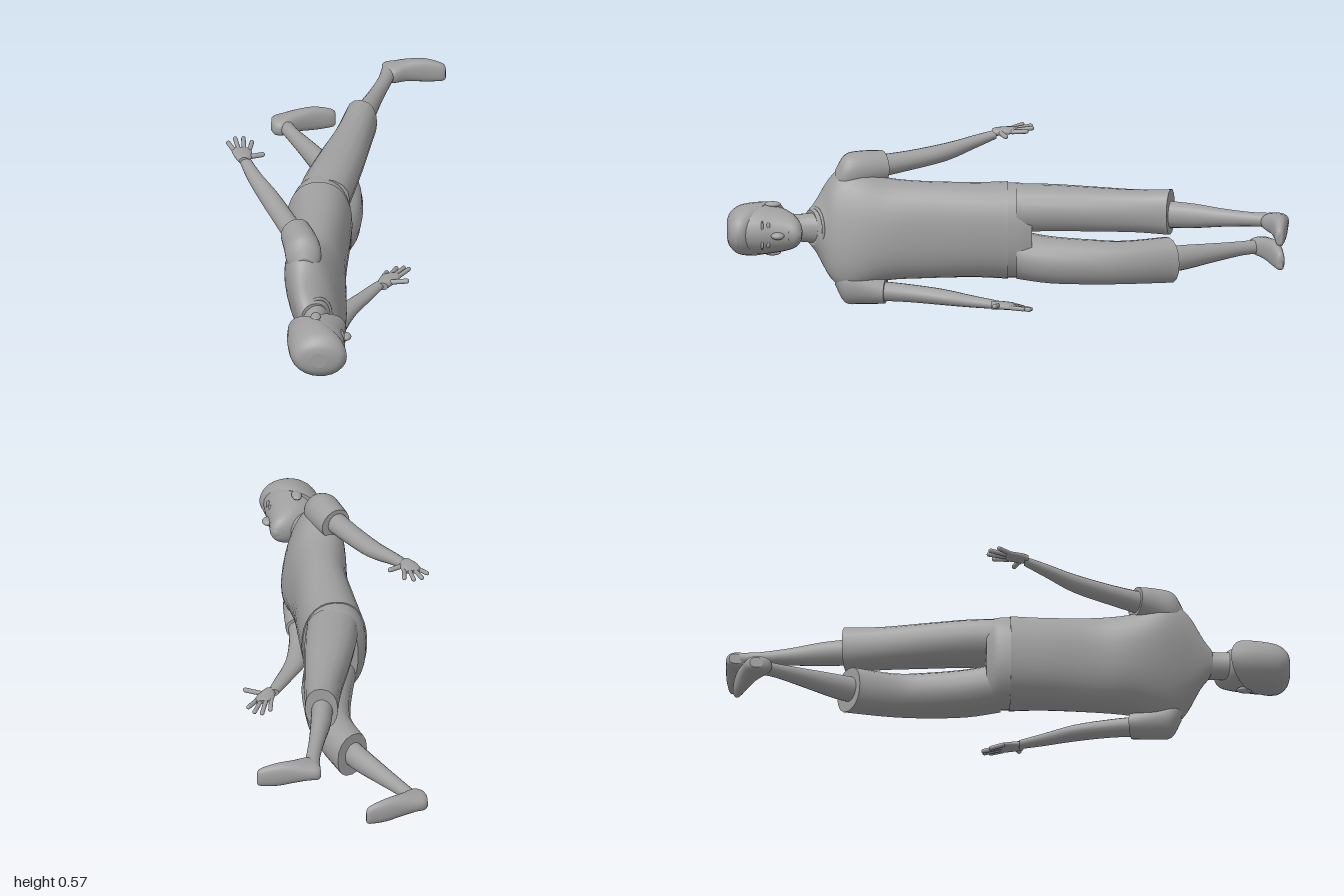
import * as THREE from 'three';

const grey = new THREE.MeshStandardMaterial({ color: 0xa0a0a0 });
grey.name = 'grey';

// Smooth loft through elliptical sections listed with falling z:
// [x, y, z, radiusX, radiusY, tilt (z per x), shear (x per y)]
function loft(sections, { sides = 24, steps = 4, power = 1 } = {}) {
  const at = (i) => sections[Math.min(Math.max(i, 0), sections.length - 1)];
  const rings = [];
  const last = sections.length - 1;
  for (let k = 0; k <= last * steps; k++) {
    const i = Math.min(Math.floor(k / steps), last - 1);
    const t = k / steps - i;
    const v = [];
    for (let c = 0; c < 7; c++) {
      const [a, b, d, e] = [-1, 0, 1, 2].map((o) => at(i + o)[c] || 0);
      v.push(b + 0.5 * t * (d - a + t * (2 * a - 5 * b + 4 * d - e + t * (3 * (b - d) + e - a))));
    }
    rings.push(v);
  }
  const pos = [], index = [];
  const bend = (s) => Math.sign(s) * Math.pow(Math.abs(s), power);
  const addRing = ([x, y, z, rx, ry, tilt, shear]) => {
    for (let j = 0; j < sides; j++) {
      const a = (j / sides) * Math.PI * 2;
      const dx = rx * bend(Math.cos(a)), dy = ry * bend(Math.sin(a));
      pos.push(x + dx + shear * dy, y + dy, z + tilt * dx);
    }
  };
  rings.forEach(addRing);
  for (let i = 0; i < rings.length - 1; i++) {
    for (let j = 0; j < sides; j++) {
      const a = i * sides + j, b = i * sides + ((j + 1) % sides);
      index.push(a, a + sides, b, b, a + sides, b + sides);
    }
  }
  // separate cap vertices keep the rims sharp
  for (const [ring, flip] of [[rings[0], false], [rings[rings.length - 1], true]]) {
    const s = pos.length / 3;
    addRing(ring);
    pos.push(ring[0], ring[1], ring[2]);
    for (let j = 0; j < sides; j++) {
      const a = s + j, b = s + ((j + 1) % sides);
      index.push(s + sides, flip ? b : a, flip ? a : b);
    }
  }
  const g = new THREE.BufferGeometry();
  g.setAttribute('position', new THREE.Float32BufferAttribute(pos, 3));
  g.setIndex(index);
  g.computeVertexNormals();
  return g;
}

export function createModel() {
  const model = new THREE.Group();
  model.name = 'lyingFigure';
  const add = (name, geometry) => {
    const m = new THREE.Mesh(geometry, grey);
    m.name = name;
    model.add(m);
    return m;
  };
  const blob = (name, p, r) => {
    const m = add(name, new THREE.SphereGeometry(1, 16, 12));
    m.position.set(...p);
    m.scale.set(...r);
    return m;
  };
  const finger = (name, from, to, r) => {
    const a = new THREE.Vector3(...from), b = new THREE.Vector3(...to);
    const d = b.clone().sub(a);
    const m = add(name, new THREE.CapsuleGeometry(r, d.length() - r, 4, 10));
    m.position.copy(a).add(b).multiplyScalar(0.5);
    m.quaternion.setFromUnitVectors(new THREE.Vector3(0, 1, 0), d.normalize());
  };

  // head, looking along +x with the crown at +z
  add('head', loft([
    [-0.02, 0.27, 0.992, 0.03, 0.03], [-0.02, 0.27, 0.98, 0.07, 0.055],
    [-0.022, 0.27, 0.95, 0.09, 0.08], [-0.03, 0.27, 0.89, 0.101, 0.091],
    [-0.025, 0.27, 0.84, 0.094, 0.085], [-0.012, 0.27, 0.79, 0.082, 0.073],
    [0.012, 0.27, 0.755, 0.06, 0.054], [0.024, 0.27, 0.737, 0.035, 0.03],
    [0.026, 0.27, 0.732, 0.01, 0.01],
  ]));
  add('hair', loft([
    [-0.02, 0.27, 1, 0.03, 0.03], [-0.018, 0.27, 0.99, 0.078, 0.058],
    [-0.022, 0.27, 0.957, 0.1, 0.086, 0.1], [-0.03, 0.27, 0.9, 0.106, 0.095, 0.4],
    [-0.037, 0.27, 0.855, 0.099, 0.093, 0.7],
  ]));
  blob('fringe', [0.04, 0.268, 0.962], [0.04, 0.055, 0.022]);
  add('neck', loft([
    [-0.04, 0.27, 0.81, 0.05, 0.055], [-0.042, 0.27, 0.74, 0.043, 0.05],
    [-0.042, 0.27, 0.65, 0.048, 0.06],
  ]));
  blob('nose', [0.07, 0.27, 0.82], [0.022, 0.013, 0.024]);
  blob('mouth', [0.062, 0.27, 0.778], [0.01, 0.024, 0.006]);
  blob('chin', [0.045, 0.27, 0.752], [0.025, 0.026, 0.02]);
  for (const s of [-1, 1]) {
    blob('eye', [0.058, 0.27 + s * 0.033, 0.853], [0.007, 0.014, 0.007]);
    blob('eyebrow', [0.062, 0.27 + s * 0.033, 0.875], [0.007, 0.02, 0.005]);
    blob('ear', [-0.035, 0.27 + s * 0.089, 0.838], [0.018, 0.01, 0.03]);
  }

  // shirt, with the shoulders twisted against the hips
  add('shirt', loft([
    [-0.042, 0.27, 0.7, 0.046, 0.062, -0.5, -0.1], [-0.042, 0.27, 0.675, 0.058, 0.095, -0.4, -0.16],
    [-0.042, 0.27, 0.635, 0.075, 0.17, -0.15, -0.2], [-0.045, 0.27, 0.585, 0.09, 0.21, 0, -0.2],
    [-0.045, 0.268, 0.52, 0.102, 0.205, 0, -0.18], [-0.045, 0.265, 0.43, 0.105, 0.18, 0, -0.12],
    [-0.042, 0.263, 0.3, 0.1, 0.174, 0, -0.04], [-0.045, 0.262, 0.12, 0.112, 0.171],
    [-0.047, 0.26, 0, 0.118, 0.175],
  ], { sides: 32, power: 0.88 }));
  const collar = add('collar', new THREE.TorusGeometry(1, 0.09, 8, 28));
  collar.position.set(-0.035, 0.27, 0.68);
  collar.scale.set(0.055, 0.072, 0.06);
  collar.rotation.y = 0.45;

  // sleeves and arms
  add('leftSleeve', loft([
    [-0.08, 0.43, 0.615, 0.035, 0.04], [-0.085, 0.455, 0.58, 0.062, 0.072],
    [-0.095, 0.47, 0.52, 0.064, 0.068], [-0.118, 0.478, 0.445, 0.052, 0.056, -0.45],
  ]));
  add('rightSleeve', loft([
    [-0.01, 0.11, 0.615, 0.035, 0.04], [-0.007, 0.08, 0.58, 0.058, 0.074],
    [0, 0.066, 0.52, 0.058, 0.064], [0.012, 0.052, 0.435, 0.05, 0.045, 0.2],
  ]));
  add('leftArm', loft([
    [-0.11, 0.475, 0.48, 0.042, 0.042], [-0.16, 0.484, 0.36, 0.04, 0.036],
    [-0.222, 0.5, 0.22, 0.037, 0.032], [-0.275, 0.522, 0.12, 0.028, 0.024],
    [-0.31, 0.542, 0.04, 0.021, 0.016],
  ], { sides: 16 }));
  add('rightArm', loft([
    [0.01, 0.053, 0.48, 0.04, 0.036], [0.026, 0.048, 0.36, 0.037, 0.032],
    [0.058, 0.042, 0.235, 0.039, 0.028], [0.118, 0.042, 0.13, 0.031, 0.021],
    [0.168, 0.044, 0.045, 0.022, 0.015],
  ], { sides: 16 }));

  // hands: flat palms, four fingers and a thumb pointing to +x
  const hand = (side, [x, y, z], lean, tips, thumb) => {
    add(side + 'Palm', loft([
      [x, y, z + 0.045, 0.019, 0.015], [x + lean * 0.4, y + 0.003, z + 0.02, 0.031, 0.014],
      [x + lean, y + 0.005, z - 0.02, 0.036, 0.011], [x + lean * 1.3, y + 0.006, z - 0.035, 0.03, 0.007],
    ], { sides: 14 }));
    tips.forEach(([tx, ty, tz], i) =>
      finger(side + 'Finger', [x + lean + (i - 1.5) * 0.018, y + 0.005, z - 0.022], [tx, ty, tz], 0.008));
    finger(side + 'Thumb', [x + 0.012, y + 0.002, z + 0.018], thumb, 0.009);
  };
  hand('left', [-0.312, 0.547, 0.01], -0.012,
    [[-0.374, 0.561, -0.055], [-0.35, 0.562, -0.085], [-0.32, 0.561, -0.09], [-0.288, 0.557, -0.07]],
    [-0.245, 0.548, 0.006]);
  hand('right', [0.18, 0.045, 0.015], 0.028,
    [[0.192, 0.038, -0.058], [0.226, 0.042, -0.083], [0.253, 0.047, -0.078], [0.272, 0.055, -0.055]],
    [0.27, 0.064, 0.05]);

  // shorts
  add('shortsHips', loft([
    [-0.047, 0.26, 0.002, 0.114, 0.171], [-0.043, 0.26, -0.05, 0.108, 0.17],
    [-0.03, 0.26, -0.085, 0.09, 0.16],
  ], { sides: 32, power: 0.88 }));
  add('leftShortsLeg', loft([
    [-0.035, 0.345, -0.03, 0.095, 0.085], [-0.01, 0.353, -0.15, 0.093, 0.082],
    [0.025, 0.357, -0.3, 0.082, 0.079], [0.06, 0.36, -0.45, 0.067, 0.077],
    [0.085, 0.362, -0.578, 0.057, 0.083, 0.27],
  ], { sides: 16, power: 0.9 }));
  add('rightShortsLeg', loft([
    [-0.03, 0.175, -0.03, 0.098, 0.085], [0, 0.163, -0.15, 0.093, 0.082],
    [0.02, 0.16, -0.3, 0.08, 0.079], [0.015, 0.157, -0.42, 0.07, 0.077, -0.3],
    [-0.027, 0.155, -0.572, 0.058, 0.083, -0.65],
  ], { sides: 16, power: 0.9 }));

  // lower legs
  add('leftCalf', loft([
    [0.075, 0.352, -0.54, 0.04, 0.05], [0.1, 0.352, -0.66, 0.037, 0.044],
    [0.13, 0.353, -0.77, 0.029, 0.032], [0.16, 0.355, -0.88, 0.026, 0.025],
    [0.172, 0.354, -0.95, 0.028, 0.028],
  ], { sides: 18 }));
  add('rightCalf', loft([
    [-0.015, 0.155, -0.53, 0.043, 0.047], [-0.055, 0.155, -0.62, 0.042, 0.045],
    [-0.112, 0.157, -0.73, 0.036, 0.034], [-0.172, 0.158, -0.84, 0.028, 0.025],
    [-0.205, 0.157, -0.91, 0.03, 0.027],
  ], { sides: 18 }));

  // feet, lofted from toe to heel and turned to point along +x
  const foot = (name, dx, dy, lift, drop) => {
    const rows = [
      [0.34, -0.966, 0.374, 0.018, 0.008], [0.345, -0.966, 0.362, 0.034, 0.016],
      [0.352, -0.967, 0.3, 0.044, 0.025], [0.355, -0.961, 0.24, 0.04, 0.035],
      [0.353, -0.949, 0.19, 0.034, 0.05], [0.35, -0.956, 0.16, 0.03, 0.042],
      [0.35, -0.965, 0.147, 0.019, 0.024],
    ];
    const g = loft(rows.map(([y, z, x, ry, rz]) =>
      [y + dy, z + lift - drop * (x - 0.147) / 0.227, x + dx, ry, rz]), { sides: 20, power: 0.85 });
    const p = g.attributes.position;
    for (let i = 0; i < p.count; i++) p.setXYZ(i, p.getZ(i), p.getX(i), p.getY(i));
    g.computeVertexNormals();
    add(name, g);
  };
  foot('leftFoot', 0, 0, 0, 0);
  foot('rightFoot', -0.392, -0.196, 0.055, 0.06);

  return model;
}
